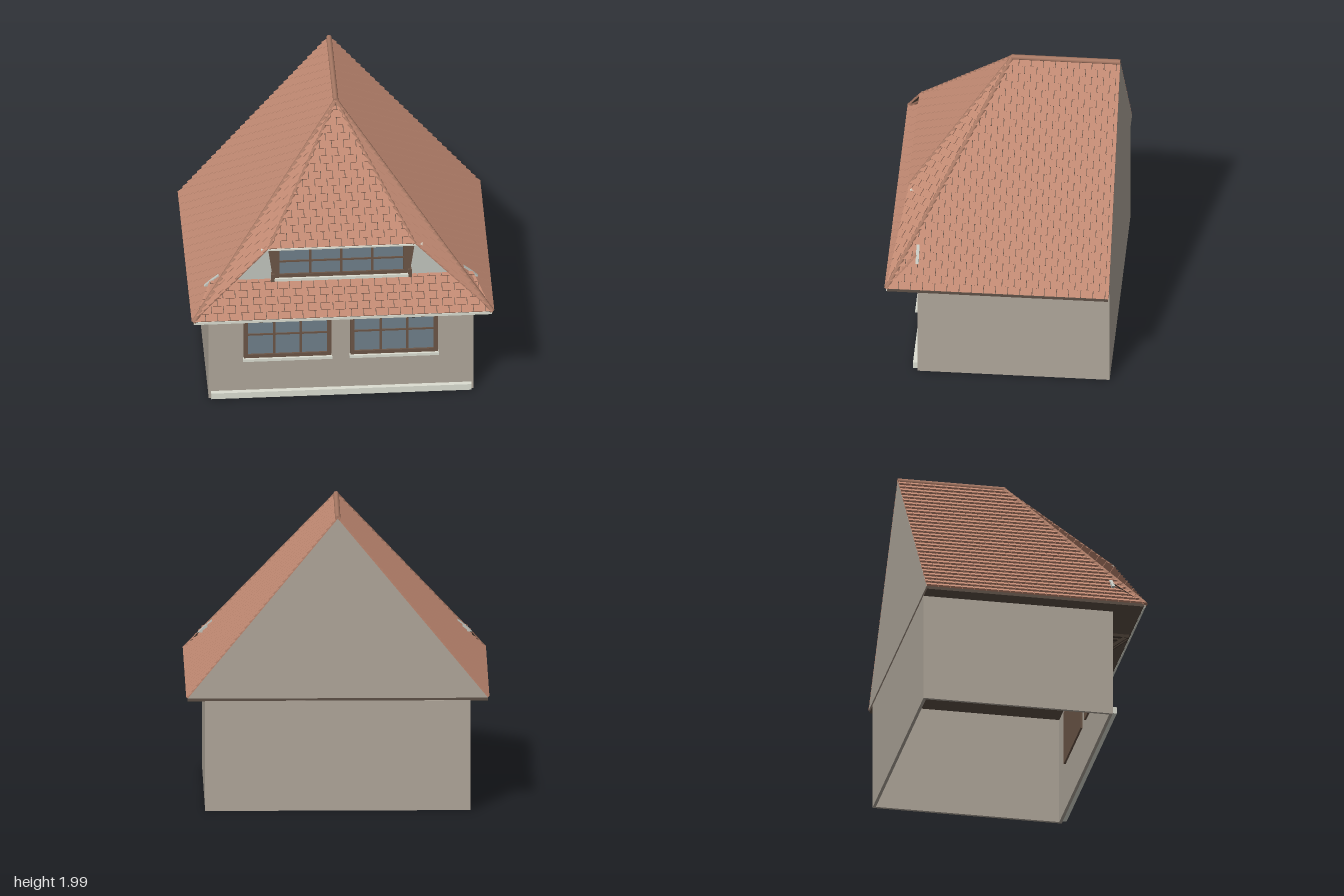
import * as THREE from 'three';

const paint = (name, color, side = THREE.FrontSide) => {
  const m = new THREE.MeshStandardMaterial({ color, side });
  m.name = name;
  return m;
};
const V = (x, y, z) => new THREE.Vector3(x, y, z);
const flipX = (pts) => pts.map((p) => V(-p.x, p.y, p.z)).reverse();

export function createModel() {
  const model = new THREE.Group();
  model.name = 'house';
  const wall = paint('wall plaster', 0xb0a79b);
  const cheekGrey = paint('dormer plaster', 0xc2c5be);
  const cream = paint('cream stone', 0xdcded2);
  const tile = paint('clay tile', 0xbf8871);
  const cap = paint('ridge tile', 0xa97a65);
  const under = paint('roof underside', 0x5d5046, THREE.DoubleSide);
  const wood = paint('frame wood', 0x6c5647);
  const darkWood = paint('bracket wood', 0x43382f);
  const glass = paint('window glass', 0x70808a);

  const add = (name, geo, mat, parent = model) => {
    const m = new THREE.Mesh(geo, mat);
    m.name = name;
    parent.add(m);
    return m;
  };
  // Box given by its minimum and maximum on each axis
  const box = (name, mat, x0, x1, y0, y1, z0, z1, parent = model) => {
    const m = add(name, new THREE.BoxGeometry(x1 - x0, y1 - y0, z1 - z0), mat, parent);
    m.position.set((x0 + x1) / 2, (y0 + y1) / 2, (z0 + z1) / 2);
    return m;
  };
  // Flat outline in x and y, extruded from z0 to z1
  const plate = (name, mat, pts, z0, z1, hole, parent = model) => {
    const shape = new THREE.Shape(pts.map(([x, y]) => new THREE.Vector2(x, y)));
    if (hole) shape.holes.push(new THREE.Path(hole.map(([x, y]) => new THREE.Vector2(x, y))));
    const geo = new THREE.ExtrudeGeometry(shape, { depth: z1 - z0, bevelEnabled: false });
    return add(name, geo.translate(0, 0, z0), mat, parent);
  };
  // Geometry whose length runs along z, laid between two points
  const between = (name, mat, geo, a, b) => {
    const m = add(name, geo, mat);
    m.position.copy(a).add(b).multiplyScalar(0.5);
    m.lookAt(b);
    return m;
  };
  const ridgeBar = (name, a, b, r) => between(name, cap,
    new THREE.CylinderGeometry(r, r, a.distanceTo(b), 8).toNonIndexed().rotateX(Math.PI / 2), a, b);

  // Walls, open underneath
  box('frontWall', wall, -0.87, 0.87, 0, 0.74, 0.505, 0.525);
  box('backWall', wall, -0.87, 0.87, 0, 0.74, -0.74, -0.72);
  for (const s of [-1, 1]) {
    const m = box('sideWall', wall, -0.01, 0.01, 0, 0.74, -0.72, 0.505);
    m.position.x = s * 0.86;
  }
  box('plinth', cream, -0.855, 0.855, 0.01, 0.055, 0.524, 0.555);
  plate('backGable', wall, [[-0.985, 0.757], [0.985, 0.757], [0, 1.965]], -0.742, -0.722);
  box('soffit', under, -0.985, 0.985, 0.738, 0.757, -0.738, 0.715);
  box('frontFascia', cream, -0.98, 0.98, 0.735, 0.754, 0.71, 0.722);

  // Windows
  const rect = (x0, x1, y0, y1) => [[x0, y0], [x1, y0], [x1, y1], [x0, y1]];
  function makeWindow(name, x0, x1, y0, y1, cols, z) {
    const g = new THREE.Group();
    g.name = name;
    model.add(g);
    const f = 0.028;
    plate('frame', wood, rect(x0, x1, y0, y1), z - 0.005, z + 0.015,
      rect(x0 + f, x1 - f, y0 + f, y1 - f), g);
    box('backPanel', wood, x0, x1, y0, y1, z - 0.035, z - 0.003, g);
    box('glass', glass, x0 + f, x1 - f, y0 + f, y1 - f, z - 0.002, z + 0.003, g);
    const ym = (y0 + y1) / 2;
    box('crossBar', wood, x0 + f, x1 - f, ym - 0.006, ym + 0.006, z, z + 0.01, g);
    for (let i = 1; i < cols; i++) {
      const x = x0 + f + ((x1 - x0 - 2 * f) * i) / cols;
      box('mullion', wood, x - 0.008, x + 0.008, y0 + f, y1 - f, z, z + 0.011, g);
    }
    box('sill', cream, x0 - 0.005, x1 + 0.005, y0 - 0.018, y0 + 0.002, z - 0.01, z + 0.03, g);
  }
  makeWindow('leftWindow', 0.06, 0.635, 0.32, 0.69, 3, 0.527);
  makeWindow('rightWindow', -0.64, -0.065, 0.32, 0.69, 3, 0.527);
  makeWindow('dormerWindow', -0.435, 0.435, 0.97, 1.225, 4, 0.54);

  // Dormer wall, side boards and cornice
  plate('dormerWall', cheekGrey,
    [[-0.9, 0.91], [0.9, 0.91], [0.865, 0.945], [0.515, 1.235], [-0.515, 1.235], [-0.865, 0.945]], 0.515, 0.535);
  box('dormerCornice', cream, -0.53, 0.53, 1.222, 1.232, 0.53, 0.6);
  for (const s of [-1, 1]) {
    const pts = [[0.432, 0.97], [0.45, 0.97], [0.485, 1.225], [0.432, 1.225]].map(([x, y]) => [s * x, y]);
    plate('dormerSideBoard', wood, pts, 0.535, 0.55);
    const post = box('dormerPost', wood, -0.012, 0.012, 0.945, 1.005, 0.535, 0.565);
    post.position.x = s * 0.45;
  }

  // Eave brackets in pairs
  for (const x of [-0.525, -0.475, 0.475, 0.525]) {
    box('bracketBeam', darkWood, x - 0.013, x + 0.013, 0.718, 0.738, 0.52, 0.7);
    between('bracketBrace', darkWood, new THREE.BoxGeometry(0.02, 0.02, 0.215), V(x, 0.605, 0.528), V(x, 0.73, 0.69));
  }

  // Roof corner points
  const peak = V(0, 1.965, -0.03), ridgeEnd = V(0, 1.965, -0.742);
  const eave = V(0.982, 0.757, 0.722), eaveBack = V(0.982, 0.757, -0.742);
  const lip = V(0.48, 1.243, 0.605), skirtTop = V(0.865, 0.948, 0.53);
  const mx = (p) => V(-p.x, p.y, p.z);
  const sidePlane = [eave, eaveBack, ridgeEnd, peak];
  const strip = [peak, lip, eave];
  const roofFaces = {
    leftRoof: sidePlane, rightRoof: flipX(sidePlane),
    leftHip: strip, rightHip: flipX(strip),
    dormerRoof: [peak, mx(lip), lip],
    skirtRoof: [mx(eave), eave, skirtTop, mx(skirtTop)],
  };

  // Cuts a polygon at a line, keeping the part where s * p[axis] >= s * limit
  function clip(poly, axis, limit, s) {
    const out = [];
    poly.forEach((p, i) => {
      const q = poly[(i + 1) % poly.length];
      const dp = s * (p[axis] - limit), dq = s * (q[axis] - limit);
      if (dp >= 0) out.push(p);
      if ((dp > 0 && dq < 0) || (dp < 0 && dq > 0)) {
        const t = dp / (dp - dq);
        out.push([p[0] + (q[0] - p[0]) * t, p[1] + (q[1] - p[1]) * t]);
      }
    });
    return out;
  }
  const meshFrom = (pos) => {
    const g = new THREE.BufferGeometry();
    g.setAttribute('position', new THREE.Float32BufferAttribute(pos, 3));
    g.computeVertexNormals();
    return g;
  };

  // Staggered overlapping tiles, thick at the lower edge, trimmed to each face
  function tileFace(name, pts) {
    const n = pts[1].clone().sub(pts[0]).cross(pts[2].clone().sub(pts[0])).normalize();
    const u = V(0, 1, 0).cross(n).normalize(), v = n.clone().cross(u);
    const o = pts.reduce((a, p) => (p.y < a.y ? p : a));
    const flat = pts.map((p) => p.clone().sub(o)).map((d) => [d.dot(u), d.dot(v)]);
    const us = flat.map((p) => p[0]), vs = flat.map((p) => p[1]);
    const row = 0.05, width = 0.08, gap = 0.002, pos = [];
    const at = (p, h) => o.clone().addScaledVector(u, p[0]).addScaledVector(v, p[1]).addScaledVector(n, h);
    const tri = (...ps) => ps.forEach((p) => pos.push(p.x, p.y, p.z));
    for (let r = 0; r * row < Math.max(...vs); r++) {
      const v0 = r * row;
      const band = clip(clip(flat, 1, v0, 1), 1, v0 + row, -1);
      const shift = (r % 2) * width / 2;
      const first = Math.floor((Math.min(...us) - shift) / width);
      for (let c = first; c * width + shift < Math.max(...us); c++) {
        const u0 = c * width + shift;
        const t = clip(clip(band, 0, u0 + gap, 1), 0, u0 + width - gap, -1);
        if (t.length < 3) continue;
        const top = t.map((p) => at(p, 0.016 - 0.013 * (p[1] - v0) / row));
        const low = t.map((p) => at(p, 0));
        for (let i = 0; i < t.length; i++) {
          const j = (i + 1) % t.length;
          if (i > 0 && j > 0) tri(top[0], top[i], top[j]);
          tri(low[i], low[j], top[j]);
          tri(low[i], top[j], top[i]);
        }
      }
    }
    add(name + 'Tiles', meshFrom(pos), tile);
    const base = [];
    for (let i = 1; i < pts.length - 1; i++) {
      for (const p of [pts[0], pts[i], pts[i + 1]]) base.push(p.x, p.y, p.z);
    }
    add(name + 'Deck', meshFrom(base), under);
  }
  for (const [name, pts] of Object.entries(roofFaces)) tileFace(name, pts);

  // Ridge and hip caps
  ridgeBar('ridgeCap', V(0, 1.967, -0.742), V(0, 1.967, -0.025), 0.018);
  for (const f of [(p) => p.clone(), mx]) {
    ridgeBar('hipCap', f(peak), f(eave), 0.016);
    ridgeBar('dormerHipCap', f(peak), f(lip), 0.012);
  }
  return model;
}
